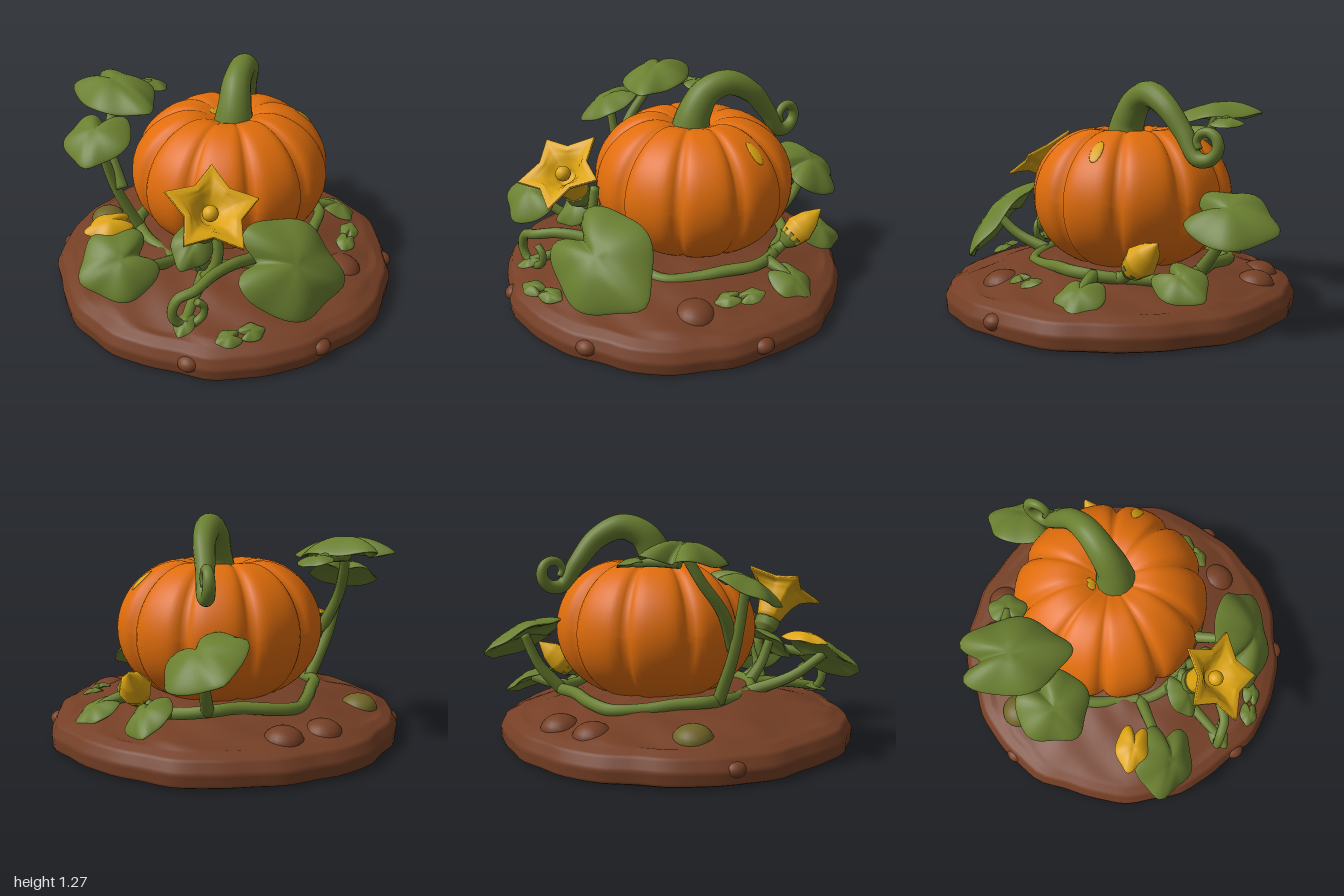
import * as THREE from 'three';
import { mergeVertices } from 'three/addons/utils/BufferGeometryUtils.js';

const material = (name, color) => Object.assign(new THREE.MeshStandardMaterial({ color }), { name });
const V = (x, y, z) => new THREE.Vector3(x, y, z);
const { lerp, clamp } = THREE.MathUtils;

// Closed smooth surface: u runs around, v from the top pole to the bottom pole
function surface(nu, nv, fn) {
  const pos = [], idx = [];
  for (let j = 0; j <= nv; j++)
    for (let i = 0; i <= nu; i++) pos.push(...fn((i % nu) / nu * Math.PI * 2, j / nv));
  for (let j = 0; j < nv; j++)
    for (let i = 0; i < nu; i++) {
      const a = j * (nu + 1) + i, b = a + nu + 1;
      if (j > 0) idx.push(a, a + 1, b);
      if (j < nv - 1) idx.push(a + 1, b + 1, b);
    }
  let g = new THREE.BufferGeometry();
  g.setAttribute('position', new THREE.Float32BufferAttribute(pos, 3));
  g.setIndex(idx);
  g = mergeVertices(g, 1e-5);
  g.computeVertexNormals();
  return g;
}

// Linear lookup in a short list, t in 0..1
function sample(list, t) {
  const k = clamp(t, 0, 1) * (list.length - 1), i = Math.min(Math.floor(k), list.length - 2);
  return lerp(list[i], list[i + 1], k - i);
}

// Tapered tube through points, with closed ends
function taperTube(points, radii, sides = 10) {
  const curve = new THREE.CatmullRomCurve3(points), n = points.length * 7;
  const f = curve.computeFrenetFrames(n);
  return surface(sides, n + 2, (a, v) => {
    const row = Math.round(v * (n + 2)), k = clamp(row - 1, 0, n);
    const r = row === 0 || row === n + 2 ? 0 : sample(radii, k / n);
    return curve.getPointAt(k / n)
      .addScaledVector(f.normals[k], Math.cos(a) * r)
      .addScaledVector(f.binormals[k], Math.sin(a) * r).toArray();
  });
}

// Points of an upright spiral that tightens as it turns
function curl(centre, across, start, radius) {
  return Array.from({ length: 8 }, (_, i) => {
    const a = start + i * 0.85, r = radius * (1 - i * 0.075);
    return centre.clone().addScaledVector(across, Math.cos(a) * r).add(V(0, Math.sin(a) * r, 0));
  });
}

// Turn a mesh so its local y follows the normal and local x the heading
function place(mesh, position, normal, heading) {
  const y = normal.normalize(), x = V(Math.cos(heading), 0, Math.sin(heading));
  x.addScaledVector(y, -x.dot(y)).normalize();
  mesh.quaternion.setFromRotationMatrix(new THREE.Matrix4().makeBasis(x, y, x.clone().cross(y)));
  mesh.position.copy(position);
}

// Full, heart-shaped, domed leaf
function leafGeometry(length, width) {
  const thick = Math.min(0.028, length * 0.13);
  return surface(48, 20, (a, v) => {
    const rho = Math.sin((v < 0.5 ? v : 1 - v) * Math.PI), t = a > Math.PI ? a - 2 * Math.PI : a;
    const edge = 0.93 + 0.035 * Math.cos(5 * t) + 0.12 * Math.exp(-((t / 0.3) ** 2))
      - 0.38 * Math.exp(-(((Math.PI - Math.abs(t)) / 0.28) ** 2));
    const x = rho * edge * Math.cos(t), z = rho * edge * Math.sin(t);
    const crease = 0.05 * Math.exp(-((z / 0.13) ** 2)) * (1 - rho * 0.5);
    const y = (0.12 - 0.26 * rho * rho - crease + 0.03 * Math.cos(5 * t) * rho * rho) * length;
    return [x * length, y + Math.cos(v * Math.PI) * thick, z * width];
  });
}

// Fluted pumpkin skin
function pumpkinPoint(a, v, grow = 0) {
  const phi = v * Math.PI, s = Math.max(Math.sin(phi), 0);
  const groove = (1 - Math.abs(Math.sin(5 * a + 0.5))) ** 3;
  const r = (0.575 + grow) * Math.pow(s, 0.75) * (1 - 0.085 * groove);
  const y = 0.635 + (0.4 + grow) * Math.cos(phi)
    - (v < 0.5 ? 0.1 * Math.exp(-((r / 0.16) ** 2)) + 0.03 * groove * s : 0);
  return [0.08 + r * Math.cos(a), y, -0.09 + 0.97 * r * Math.sin(a)];
}

// Path of the vine that circles the pumpkin
const vinePoint = (a) => {
  const r = 0.53 + 0.025 * Math.sin(a * 6);
  return V(0.08 + r * Math.cos(a), 0.28 + 0.018 * Math.sin(a * 4), -0.09 + r * Math.sin(a));
};

// Straight-sided five-pointed star, radius 1 at the tips
function starRadius(a, valley) {
  const half = Math.PI / 5, p = Math.abs(((a + half) % (2 * half)) - half);
  return valley * Math.sin(half) / (Math.sin(p) + valley * Math.sin(half - p));
}

export function createModel() {
  const soil = material('soil brown', 0x753f25), orange = material('pumpkin orange', 0xe06d0b);
  const green = material('vine green', 0x6a7f30), yellow = material('blossom yellow', 0xdca412);
  const olive = material('mossy olive', 0x6f6428);
  const model = new THREE.Group();
  model.name = 'pumpkinPatch';
  const add = (name, geometry, mat) => {
    const mesh = new THREE.Mesh(geometry, mat);
    mesh.name = name;
    model.add(mesh);
    return mesh;
  };

  // Earth mound with a lumpy rim and flat base
  const rings = [0, 0.4, 0.6, 0.8, 0.91, 0.97, 1, 0.995, 0.96, 0];
  const heights = [0.3, 0.295, 0.255, 0.2, 0.17, 0.14, 0.08, 0.015, 0, 0];
  add('earthMound', surface(96, 45, (a, v) => {
    const r = sample(rings, v);
    const rim = 0.992 + 0.009 * Math.sin(7 * a + 1) + 0.007 * Math.sin(13 * a) + 0.004 * Math.sin(22 * a);
    const lump = v < 0.44 ? 0.014 * r * Math.sin(9 * a + 6 * r) * Math.sin(14 * r + 2 * a) : 0;
    return [r * rim * Math.cos(a), sample(heights, v) + lump, r * rim * Math.sin(a)];
  }), soil);

  // Clods, rim pebbles and one mossy stone
  const stone = (name, mat, x, y, z, r) => {
    const mesh = add(name, new THREE.SphereGeometry(r, 20, 14), mat);
    mesh.position.set(x, y, z);
    mesh.scale.y = 0.75;
  };
  for (const x of [-0.12, 0.12]) stone('backClod', soil, x, 0.165, -0.79, 0.105);
  stone('frontClod', soil, 0.5, 0.17, 0.52, 0.115);
  stone('mossyStone', olive, -0.56, 0.18, -0.54, 0.105);
  for (const a of [0.46, 1.44, 2.18, 3.72]) stone('rimPebble', soil, 0.95 * Math.cos(a), 0.08, 0.95 * Math.sin(a), 0.06);

  // Pumpkin and the pale patches on its skin
  add('pumpkin', surface(120, 48, (a, v) => pumpkinPoint(a, v)), orange);
  for (const [angle, down, wide, tall] of [[0.18, 0.258, 0.075, 0.055], [2.35, 0.74, 0.06, 0.03], [-2.1, 0.035, 0.35, 0.01]])
    add('skinPatch', surface(20, 8, (a, v) => {
      const d = Math.sin(v * Math.PI);
      return pumpkinPoint(angle + wide * d * Math.cos(a), down - tall * d * Math.sin(a), 0.006 * Math.cos(v * Math.PI));
    }), yellow);

  // Arched stem ending in a curl
  add('stem', taperTube([V(0.08, 0.9, -0.05), V(0.1, 1.04, -0.07), V(0.14, 1.15, -0.13), V(0.22, 1.195, -0.22),
    V(0.31, 1.13, -0.33), V(0.36, 1, -0.43), ...curl(V(0.42, 0.95, -0.55), V(0.3, 0, -0.95), -2.1, 0.09)],
  [0.12, 0.095, 0.08, 0.07, 0.06, 0.052, 0.042, 0.034, 0.027, 0.02], 16), green);

  // Vine around the base and the curling tendril in front
  add('baseVine', taperTube(Array.from({ length: 21 }, (_, i) => vinePoint(1.9 + i * Math.PI / 10)), [0.035, 0.032]), green);
  add('frontTendril', taperTube([V(-0.05, 0.4, 0.5), V(-0.2, 0.44, 0.56), V(-0.34, 0.45, 0.62),
    ...curl(V(-0.48, 0.31, 0.67), V(1, 0, 0.1), 1.4, 0.12)], [0.034, 0.03, 0.026, 0.02]), green);

  // Leaves: name, x, y, z, tilt along x and z, heading of the tip, length, width
  const leaf = (name, mat, x, y, z, tiltX, tiltZ, heading, length, width) =>
    place(add(name, leafGeometry(length, width), mat), V(x, y, z), V(tiltX, 1, tiltZ), heading);
  const stalk = (name, points) => add(name, taperTube(points, [0.036, 0.03, 0.026]), green);
  for (const [name, x, y, z, ...shape] of [
    ['frontLeaf', 0.05, 0.47, 0.74, 0.2, 1.15, 0.55, 0.33, 0.29],
    ['sideLeaf', -0.66, 0.92, -0.25, -0.35, 0.3, 2.28, 0.2, 0.21],
    ['leftLeaf', -0.75, 0.5, 0.38, -0.13, 0.75, 2.95, 0.21, 0.22],
    ['backLeaf', 0.52, 0.61, -0.69, 0.6, -0.1, -1.3, 0.24, 0.24],
    ['lowBackLeaf', 0.71, 0.31, -0.48, 0.6, 0, -0.78, 0.16, 0.14],
    ['rightLeaf', 0.79, 0.23, 0, 0.5, 0.05, 0.1, 0.14, 0.14],
    ['underFlowerLeaf', -0.36, 0.53, 0.42, -0.14, 0.86, 2.25, 0.15, 0.12],
    ['lowFrontLeaf', -0.52, 0.24, 0.67, -0.2, 0.2, 2.35, 0.08, 0.06],
  ]) {
    leaf(name, green, x, y, z, ...shape);
    // Each leaf grows on a bowed stalk from the nearest stretch of vine
    const start = vinePoint(Math.atan2(z + 0.09, x - 0.08)), end = V(x, y, z);
    const bend = start.clone().lerp(end, 0.6);
    bend.y = lerp(start.y, end.y, 0.45);
    stalk(name + 'Stalk', [start, bend, end]);
  }
  // Tall leaf branching off the side stalk, with a tiny leaf beside it
  leaf('tallLeaf', green, -0.47, 1.08, -0.5, -0.05, 0.1, 1.25, 0.3, 0.22);
  stalk('tallLeafStalk', [V(-0.55, 0.58, -0.2), V(-0.57, 0.78, -0.32), V(-0.52, 0.94, -0.43), V(-0.47, 1.08, -0.5)]);
  leaf('tinyLeaf', green, -0.21, 1.03, -0.58, 0.2, 0, -0.2, 0.09, 0.11);
  stalk('tinyLeafStalk', [V(-0.46, 1.04, -0.52), V(-0.34, 1.04, -0.56), V(-0.22, 1.03, -0.58)]);
  leaf('fallenPetal', yellow, -0.735, 0.615, 0.185, -0.05, 0.15, Math.PI, 0.135, 0.1);

  // Two-leaved seedlings
  for (const [x, y, z, heading] of [[0.66, 0.25, 0.335, -0.85], [-0.28, 0.21, 0.835, 0]])
    for (const side of [-1, 1])
      leaf('seedlingLeaf', green, x + side * 0.06 * Math.cos(heading), y, z + side * 0.06 * Math.sin(heading),
        0.05, 0.3, side > 0 ? heading : heading + Math.PI, 0.075, 0.06);

  // Open star flower: inside of the trumpet, rim, then outside
  const cupR = [0, 0.04, 0.06, 0.12, 0.19, 0.25, 0.255, 0.2, 0.145, 0.11, 0.09, 0.07, 0];
  const cupY = [-0.1, -0.1, -0.07, -0.025, -0.005, 0, -0.015, -0.03, -0.06, -0.11, -0.16, -0.22, -0.23];
  place(add('flower', surface(80, 36, (a, v) => {
    const r = sample(cupR, v), s = r * lerp(1, starRadius(a, 0.6), clamp((r - 0.06) / 0.14, 0, 1));
    return [s * Math.cos(a), sample(cupY, v), s * Math.sin(a)];
  }), yellow), V(-0.32, 0.83, 0.59), V(0, 0.82, 0.57), 0);
  add('flowerHeart', new THREE.SphereGeometry(0.042, 16, 12), yellow).position.set(-0.325, 0.79, 0.565);
  add('flowerCalyx', taperTube([V(-0.31, 0.56, 0.42), V(-0.32, 0.65, 0.47)], [0.03, 0.07, 0.076]), green);
  stalk('flowerStalk', [V(-0.22, 0.28, 0.36), V(-0.31, 0.4, 0.42), V(-0.29, 0.52, 0.41), V(-0.31, 0.61, 0.45)]);
  stalk('flowerSideStalk', [V(-0.3, 0.29, 0.42), V(-0.25, 0.4, 0.46), V(-0.23, 0.68, 0.42)]);

  // Closed bud
  add('bud', taperTube([V(0.65, 0.34, -0.23), V(0.7, 0.41, -0.3), V(0.765, 0.5, -0.38)], [0.065, 0.088, 0.06, 0.005], 8), yellow);
  add('budCalyx', taperTube([V(0.63, 0.31, -0.2), V(0.665, 0.36, -0.25)], [0.03, 0.06, 0.072]), green);
  stalk('budStalk', [vinePoint(-0.1), V(0.61, 0.29, -0.18), V(0.65, 0.34, -0.23)]);

  return model;
}
